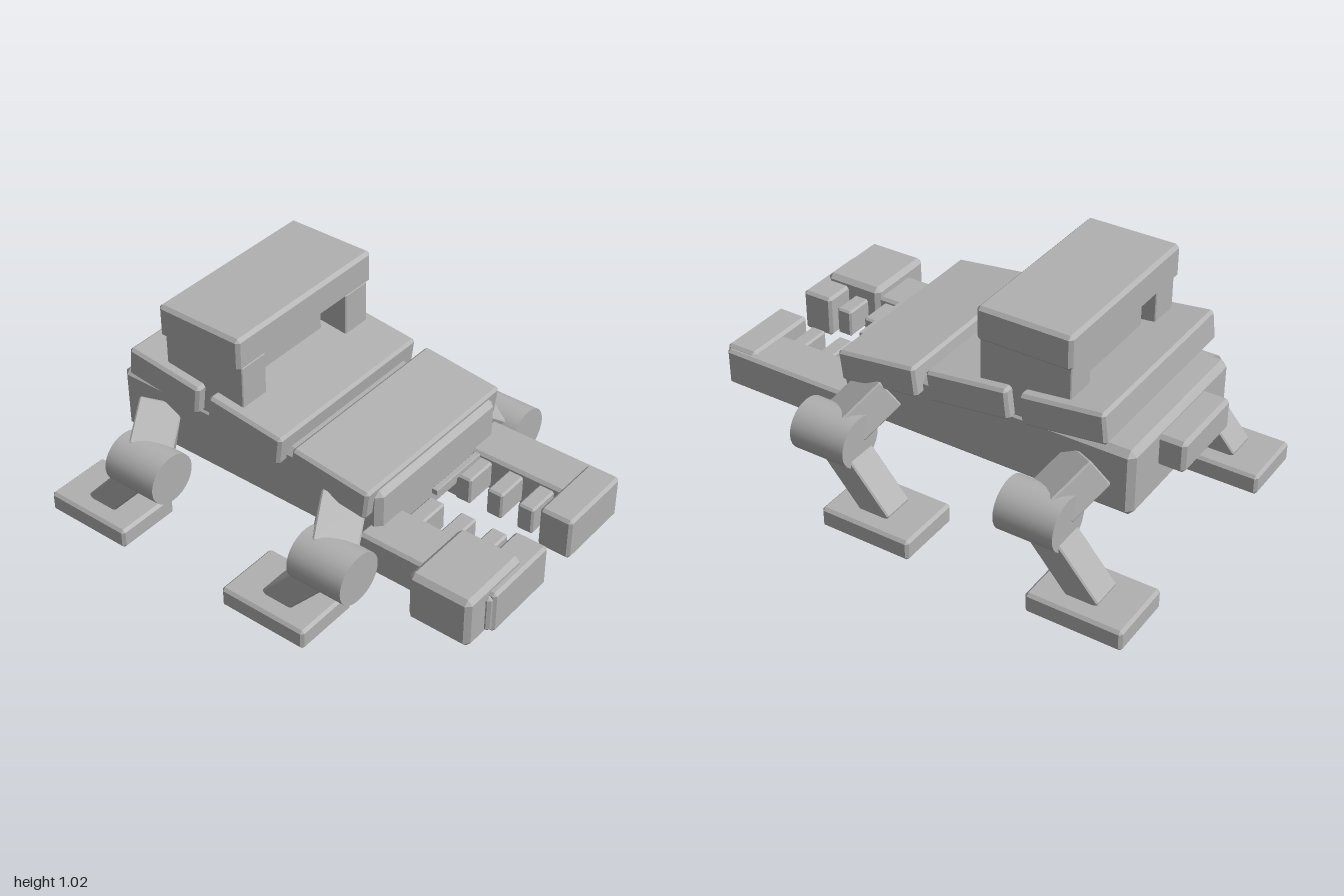
import * as THREE from 'three';
import { ConvexGeometry } from 'three/addons/geometries/ConvexGeometry.js';

const grey = new THREE.MeshStandardMaterial({ color: 0xb0b0b0 });
grey.name = 'plain grey';

// Box with flat chamfered edges
function chamferBox(w, h, d, b = 0.012) {
  const points = [];
  for (const x of [-1, 1]) for (const y of [-1, 1]) for (const z of [-1, 1]) {
    const X = w / 2, Y = h / 2, Z = d / 2;
    points.push(
      new THREE.Vector3(x * X, y * (Y - b), z * (Z - b)),
      new THREE.Vector3(x * (X - b), y * Y, z * (Z - b)),
      new THREE.Vector3(x * (X - b), y * (Y - b), z * Z));
  }
  return new ConvexGeometry(points);
}

function add(parent, name, geometry, x = 0, y = 0, z = 0) {
  const mesh = new THREE.Mesh(geometry, grey);
  mesh.name = name;
  mesh.position.set(x, y, z);
  parent.add(mesh);
  return mesh;
}

// Chamfered box given by its limits on each axis
function block(parent, name, [x0, x1], [y0, y1], [z0, z1], bevel) {
  return add(parent, name, chamferBox(Math.abs(x1 - x0), y1 - y0, z1 - z0, bevel),
    (x0 + x1) / 2, (y0 + y1) / 2, (z0 + z1) / 2);
}

// One bent leg; side is +1 or -1, z shifts the whole leg
function makeLeg(name, side, z) {
  const leg = new THREE.Group();
  leg.name = name;
  leg.position.z = z;

  // Upper leg runs from the knee up, inward and back to the hip
  const along = new THREE.Vector3(-0.755 * side, 0.547, -0.365).normalize();
  const up = new THREE.Vector3(0.39 * side, 0.82, 0.43);
  up.addScaledVector(along, -up.dot(along)).normalize();
  const across = new THREE.Vector3().crossVectors(up, along);
  const upper = add(leg, 'upperLeg', chamferBox(0.2, 0.14, 0.175, 0.006), 0.43 * side, 0.437, 0.303);
  upper.quaternion.setFromRotationMatrix(
    new THREE.Matrix4().makeBasis(along, up, across.negate().cross(new THREE.Vector3()).crossVectors(along, up)));

  // Knee drum
  const drum = new THREE.CylinderGeometry(0.113, 0.113, 0.25, 28).rotateX(Math.PI / 2).scale(1, 0.94, 1);
  add(leg, 'knee', drum, 0.548 * side, 0.352, 0.365);

  // Lower leg and foot
  const lower = add(leg, 'lowerLeg', chamferBox(0.14, 0.38, 0.115, 0.006), 0.543 * side, 0.205, 0.238);
  lower.rotation.x = 0.72;
  block(leg, 'foot', [0.395 * side, 0.69 * side], [0, 0.09], [-0.07, 0.335]);
  return leg;
}

export function createModel() {
  const model = new THREE.Group();
  model.name = 'fourLeggedMachine';

  // Hull and rear vent
  block(model, 'hull', [-0.375, 0.375], [0.325, 0.61], [-0.84, 0.45], 0.025);
  block(model, 'rearVent', [-0.18, 0.18], [0.445, 0.58], [-0.945, -0.8], 0.015);

  // Overlapping tilted back plates
  [[0.588, 0.245], [0.64, -0.163], [0.688, -0.57]].forEach(([y, z]) => {
    add(model, 'backPlate', chamferBox(0.845, 0.13, 0.357), 0, y, z).rotation.x = 0.12;
  });

  // Raised cabin
  block(model, 'cabinCore', [-0.215, 0.215], [0.6, 0.9], [-0.54, -0.29]);
  block(model, 'roof', [-0.4, 0.4], [0.882, 1.025], [-0.59, -0.19], 0.014);

  // Slim bar in front of the face
  block(model, 'mouthBar', [-0.14, 0.14], [0.502, 0.527], [0.515, 0.54], 0.002);

  // Mirrored parts: pillars, jaws with teeth, legs
  for (const side of [1, -1]) {
    block(model, 'pillar', [0.243 * side, 0.378 * side], [0.6, 0.89], [-0.58, -0.195], 0.004);
    block(model, 'jaw', [0.225 * side, 0.437 * side], [0.29, 0.45], [0.4, 0.985]);
    block(model, 'jawTip', [0.077 * side, 0.418 * side], [0.28, 0.463], [0.855, 0.995]);
    for (const z of [0.505, 0.65, 0.79]) {
      block(model, 'tooth', [0.083 * side, 0.25 * side], [0.31, 0.43], [z - 0.035, z + 0.035], 0.008);
    }
    const label = side > 0 ? 'left' : 'right';
    model.add(makeLeg(label + 'FrontLeg', side, 0));
    model.add(makeLeg(label + 'RearLeg', side, -0.922));
  }

  // Single heavy block on the right jaw
  block(model, 'jawBlock', [-0.54, -0.207], [0.275, 0.493], [0.7, 0.968], 0.02);

  return model;
}
